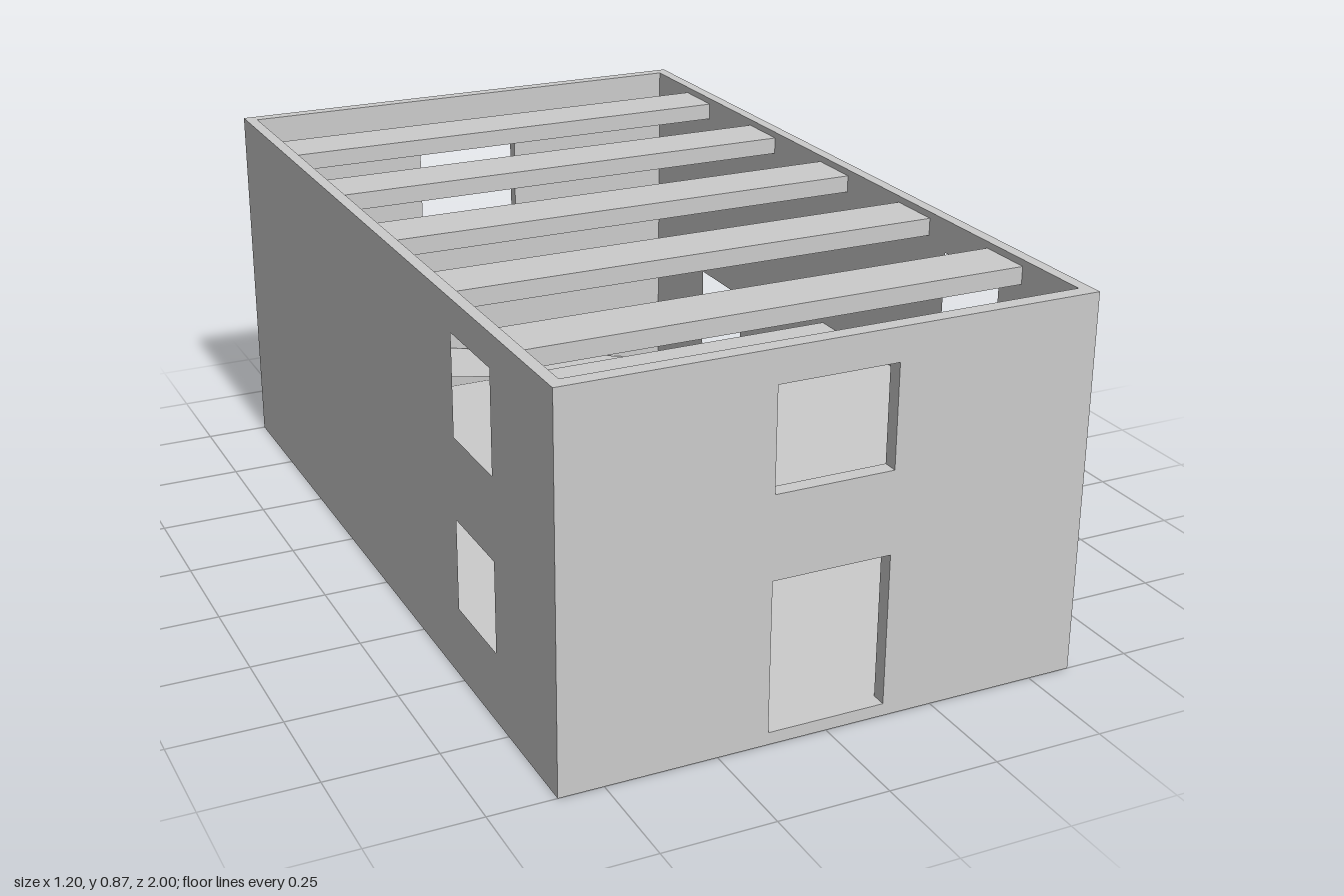
import * as THREE from 'three';

const material = new THREE.MeshStandardMaterial({ color: 0xcccccc, flatShading: true });

// Overall shell and storey sizes
const HX = 0.6, H = 0.865;
const SIDE = 0.027, BACK = 0.03, FRONT = 0.035;
const Z0 = -1 + BACK, Z1 = 1 - FRONT;
const IX = HX - SIDE;
const SLAB = 0.028, UPPER = 0.446;

function polygon(points, Type = THREE.Shape) {
  return new Type(points.map(([x, y]) => new THREE.Vector2(x, y)));
}

const rect = (a0, a1, b0, b1) => [[a0, b0], [a1, b0], [a1, b1], [a0, b1]];

function add(group, name, geometry) {
  const mesh = new THREE.Mesh(geometry, material);
  mesh.name = name;
  group.add(mesh);
  return mesh;
}

function box(group, name, x0, x1, y0, y1, z0, z1) {
  const mesh = add(group, name, new THREE.BoxGeometry(x1 - x0, y1 - y0, z1 - z0));
  mesh.position.set((x0 + x1) / 2, (y0 + y1) / 2, (z0 + z1) / 2);
  return mesh;
}

// Extrude an (x, y) outline from z0 to z1
function extrudeZ(points, openings, z0, z1) {
  const shape = polygon(points);
  for (const o of openings) shape.holes.push(polygon(rect(...o).reverse(), THREE.Path));
  const geometry = new THREE.ExtrudeGeometry(shape, { depth: z1 - z0, bevelEnabled: false });
  return geometry.translate(0, 0, z0);
}

// Extrude a (z, y) outline from x0 to x1
function extrudeX(points, openings, x0, x1) {
  const flipped = points.map(([z, y]) => [-z, y]);
  const holes = openings.map(([a, b, c, d]) => [-b, -a, c, d]);
  return extrudeZ(flipped, holes, x0, x1).rotateY(Math.PI / 2);
}

export function createModel() {
  const house = new THREE.Group();
  house.name = 'house';

  // Outer walls with door and window openings
  const door = [-0.135, 0.135, SLAB, 0.372];
  const frontWindow = [-0.135, 0.135, 0.56, 0.79];
  const upperDoor = [-0.135, 0.135, UPPER, 0.79];
  add(house, 'frontWall', extrudeZ(rect(-HX, HX, 0, H), [door, frontWindow], Z1, 1));
  add(house, 'backWall', extrudeZ(rect(-HX, HX, 0, H), [upperDoor], -1, Z0));

  const sideWindows = [[0.48, 0.69, 0.163, 0.372], [0.48, 0.69, 0.56, 0.79]];
  const stairWindow = [-0.69, -0.47, 0.163, 0.372];
  const sideOutline = rect(Z0, Z1, 0, H);
  add(house, 'leftWall', extrudeX(sideOutline, [...sideWindows, stairWindow], IX, HX));
  add(house, 'rightWall', extrudeX(sideOutline, sideWindows, -HX, -IX));

  // Ground floor, and upper floor left open at the back for the ramps
  box(house, 'groundFloor', -IX, IX, 0, SLAB, Z0, Z1);
  box(house, 'upperFloor', -IX, IX, UPPER - SLAB, UPPER, -0.04, Z1);

  // Two ramps joined by a corner landing
  const rampX = -0.26, rampZ = -0.7, landing = 0.2, thick = 0.019;
  add(house, 'lowerRamp', extrudeZ(
    [[rampX, landing - thick], [0.475, 0.023], [0.475, 0.042], [rampX, landing]],
    [], -0.955, rampZ));
  box(house, 'landing', -IX, rampX, landing - thick, landing, -0.955, rampZ);
  add(house, 'upperRamp', extrudeX(
    [[rampZ, landing - thick], [-0.04, UPPER - thick], [-0.04, UPPER], [rampZ, landing]],
    [], -IX, rampX));

  // Roof beams
  for (let i = 0; i < 5; i++) {
    const z = -0.733 + i * 0.3595;
    box(house, 'roofBeam', -IX, IX, 0.81, 0.85, z - 0.066, z + 0.066);
  }

  return house;
}
